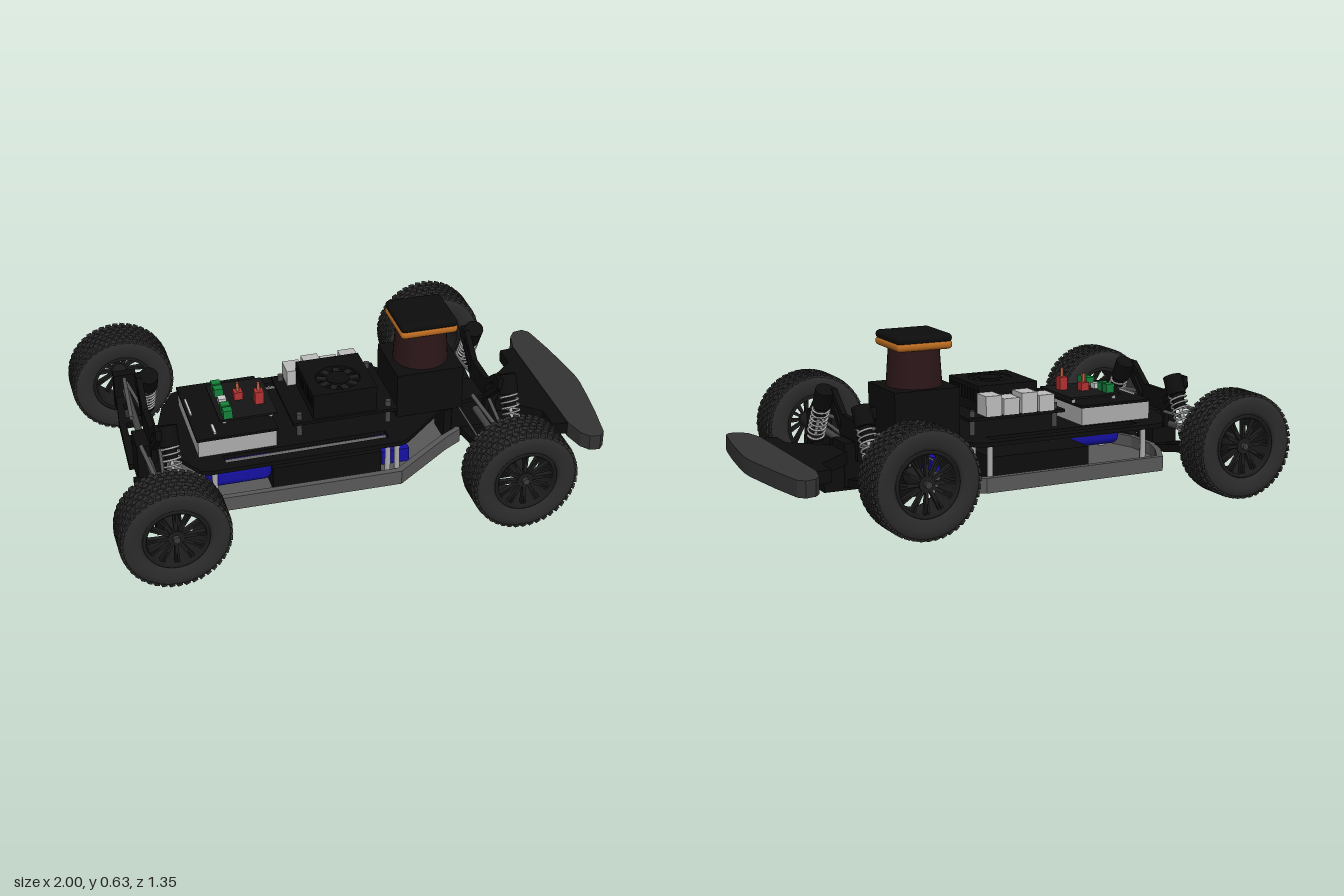
import * as THREE from 'three';
import { mergeGeometries } from 'three/addons/utils/BufferGeometryUtils.js';
import { RoundedBoxGeometry } from 'three/addons/geometries/RoundedBoxGeometry.js';

const paints = {};
const paint = (c) => (paints[c] ??= new THREE.MeshStandardMaterial({ color: c, side: THREE.DoubleSide }));
const BLACK = 0x0d0d0d, RUBBER = 0x2b2b2b, FOAM = 0x333333, TUB = 0x585858, STEEL = 0xaaaaaa, BLUE = 0x1410a0;
const V = (x, y, z) => new THREE.Vector3(x, y, z);

function add(parent, name, geo, color, x = 0, y = 0, z = 0) {
  const m = new THREE.Mesh(geo, paint(color));
  m.name = name;
  m.position.set(x, y, z);
  parent.add(m);
  return m;
}
// Box given by its minimum and maximum on each axis
function box(parent, name, color, [x0, x1], [y0, y1], [z0, z1]) {
  return add(parent, name, new THREE.BoxGeometry(x1 - x0, y1 - y0, z1 - z0), color, (x0 + x1) / 2, (y0 + y1) / 2, (z0 + z1) / 2);
}
// Cylinder between two points
function rod(parent, name, color, a, b, r, r2 = r, n = 12) {
  const d = b.clone().sub(a);
  const m = add(parent, name, new THREE.CylinderGeometry(r2, r, d.length(), n), color);
  m.position.copy(a).addScaledVector(d, 0.5);
  m.quaternion.setFromUnitVectors(V(0, 1, 0), d.normalize());
}
const toShape = (pts) => new THREE.Shape(pts.map((p) => new THREE.Vector2(...p)));
const mirrored = (half) => [...half, ...half.map(([x, z]) => [x, -z]).reverse()];
// Horizontal plate from an outline in x and z, with optional holes
function plate(parent, name, color, pts, y0, y1, holes = []) {
  const shape = toShape(pts.map(([x, z]) => [x, -z]));
  shape.holes = holes.map((h) => toShape(h.map(([x, z]) => [x, -z])));
  const geo = new THREE.ExtrudeGeometry(shape, { depth: y1 - y0, bevelEnabled: false }).rotateX(-Math.PI / 2);
  return add(parent, name, geo, color, 0, y0, 0);
}
const rect = (x0, x1, z0, z1) => [[x0, z0], [x1, z0], [x1, z1], [x0, z1]];
const ring = (pts) => new THREE.LatheGeometry(pts.map((p) => new THREE.Vector2(...p)), 48).rotateX(Math.PI / 2);

// Wheel with its axle along z and its outer face towards +z
function makeWheel() {
  const g = new THREE.Group();
  g.name = 'wheel';
  add(g, 'tire', ring([[.12, -.068], [.135, -.078], [.165, -.081], [.186, -.079], [.197, -.068], [.2, 0], [.197, .068],
    [.186, .079], [.165, .081], [.135, .078], [.12, .068], [.117, 0], [.12, -.068]]), RUBBER);
  // Staggered low tread blocks
  const blocks = [];
  for (let row = 0; row < 7; row++) {
    const z = (row - 3) * .0225;
    for (let i = 0; i < 44; i++) {
      const b = new THREE.BoxGeometry(.02, .009, .018).rotateY(row % 2 ? .35 : -.35);
      b.translate(0, Math.abs(z) > .06 ? .196 : .2, z);
      blocks.push(b.rotateZ((i + (row % 2) / 2) * Math.PI / 22));
    }
  }
  add(g, 'tread', mergeGeometries(blocks), RUBBER);
  // Rim with twelve split spokes
  const parts = [ring([[.108, -.066], [.122, -.07], [.122, .07], [.117, .075], [.108, .07], [.108, -.066]])];
  for (let i = 0; i < 24; i++) {
    const lean = i % 2 ? .055 : -.055;
    parts.push(new THREE.BoxGeometry(.007, .084, .018).translate(0, .07, .05).rotateZ(Math.floor(i / 2) * Math.PI / 6 + lean));
  }
  add(g, 'rim', mergeGeometries(parts), 0x1c1c1c);
  rod(g, 'hub', 0x1c1c1c, V(0, 0, -.07), V(0, 0, .062), .034, .03, 20);
  rod(g, 'wheelNut', 0x3a3a3a, V(0, 0, .06), V(0, 0, .076), .014, .014, 6);
  return g;
}

// Shock absorber with a coil spring from its top mount to its bottom mount
function makeShock(top, bottom) {
  const g = new THREE.Group();
  g.name = 'shock';
  const at = (t) => top.clone().lerp(bottom, t);
  rod(g, 'shockBody', BLACK, at(0), at(.5), .024);
  rod(g, 'shockCap', BLACK, at(-.04), at(.28), .037, .037, 16);
  rod(g, 'shockShaft', STEEL, at(.5), at(1), .007);
  rod(g, 'springSeat', BLACK, at(.9), at(.96), .034);
  const len = top.distanceTo(bottom);
  const pts = Array.from({ length: 85 }, (_, i) => V(.033 * Math.cos(i * Math.PI / 6), -len * (.28 + .62 * i / 84), .033 * Math.sin(i * Math.PI / 6)));
  const coil = add(g, 'spring', new THREE.TubeGeometry(new THREE.CatmullRomCurve3(pts), 126, .0045, 5), STEEL);
  coil.position.copy(top);
  coil.quaternion.setFromUnitVectors(V(0, -1, 0), bottom.clone().sub(top).normalize());
  return g;
}

// Suspension, drive shafts and wheels around one axle
function makeAxle(name, x, shockX, towerX, [gearX0, gearX1]) {
  const g = new THREE.Group();
  g.name = name;
  box(g, 'gearbox', BLACK, [gearX0, gearX1], [.08, .25], [-.06, .06]);
  // Shock tower with a lightening hole on each side
  const tower = toShape(mirrored([[.18, .08], [.25, .09], [.37, .22], [.41, .215], [.41, .17], [.33, .07]]).map(([y, z]) => [z, y]));
  tower.holes = [1, -1].map((s) => toShape([[.08 * s, .27], [.16 * s, .35], [.17 * s, .38], [.09 * s, .31]]));
  add(g, 'shockTower', new THREE.ExtrudeGeometry(tower, { depth: .022, bevelEnabled: false }).rotateY(Math.PI / 2), BLACK, towerX);
  for (const s of [1, -1]) {
    const wheel = makeWheel();
    wheel.position.set(x, .208, .538 * s);
    if (s < 0) wheel.rotation.y = Math.PI;
    g.add(wheel);
    g.add(makeShock(V(shockX, .4, .185 * s), V(shockX, .19, .305 * s)));
    // Perforated lower arm, sloping up to the hub
    const m = (pts) => pts.map(([a, z]) => [x + a, z * s]);
    const arm = plate(g, 'lowerArm', BLACK, m([[-.06, .05], [.08, .05], [.08, .3], [.04, .44], [-.04, .44], [-.055, .3]]), .07, .1,
      [m([[-.03, .1], [.045, .1], [.045, .18], [-.03, .18]]), m([[-.03, .21], [.045, .21], [.04, .28], [-.03, .28]]), m([[-.025, .31], [.035, .31], [.02, .39], [-.02, .39]])]);
    arm.rotation.x = -.19 * s;
    rod(g, 'driveShaft', 0x444444, V(x, .19, .06 * s), V(x, .208, .48 * s), .014);
    rod(g, 'upperArm', 0x555555, V(x - .03, .28, .1 * s), V(x, .26, .46 * s), .008);
    rod(g, 'camberLink', 0x555555, V(x + .04, .25, .1 * s), V(x, .245, .46 * s), .007);
    box(g, 'hubCarrier', BLACK, [x - .045, x + .045], [.13, .28], [.44 * s - .02, .44 * s + .02]);
  }
  return g;
}

export function createModel() {
  const model = new THREE.Group();
  const car = new THREE.Group();
  car.name = 'chassisCar';
  car.rotation.y = -.0704;
  model.add(car);

  // Lower tub: floor plus a raised wall
  const outline = mirrored([[-.69, .08], [-.655, .18], [-.6, .285], [.17, .297], [.41, .12], [.48, .08]]);
  const inner = mirrored([[-.67, .07], [-.635, .17], [-.585, .262], [.16, .272], [.39, .105], [.46, .065]]);
  plate(car, 'tubFloor', TUB, outline, .06, .072);
  plate(car, 'tubWall', TUB, outline, .072, .118, [inner]);
  box(car, 'frontNeck', BLACK, [.42, .72], [.07, .2], [-.055, .055]);

  // Upper deck on standoffs, with long side slots
  const deck = mirrored([[-.695, .07], [-.66, .18], [-.6, .28], [-.57, .292], [.17, .295], [.2, .28], [.4, .1], [.6, .06]]);
  plate(car, 'upperDeck', BLACK, deck, .235, .252, [rect(-.5, .13, .205, .25), rect(-.5, .13, -.25, -.205)]);
  for (const s of [1, -1]) {
    box(car, 'sideRail', 0x666666, [-.5, .13], [.222, .234], [.228 * s - .022, .228 * s + .022]);
    for (const [x, z] of [[-.54, .23], [.13, .24], [.18, .2], [-.58, .16]]) {
      rod(car, 'standoff', STEEL, V(x, .07, z * s), V(x, .236, z * s), .011);
    }
  }

  // Battery and lower electronics
  add(car, 'battery', new RoundedBoxGeometry(.25, .085, .24, 3, .03), BLUE, -.44, .16, .1);
  box(car, 'speedController', BLACK, [-.315, .11], [.07, .17], [-.2, .22]);
  box(car, 'servo', BLUE, [.13, .24], [.07, .13], [.05, .17]);

  // Power box with its board and connectors
  box(car, 'powerBox', STEEL, [-.59, -.29], [.252, .32], [-.19, .19]);
  box(car, 'powerBoxLid', BLACK, [-.595, -.285], [.32, .33], [-.195, .195]);
  box(car, 'powerBoard', 0x141414, [-.49, -.27], [.345, .353], [-.14, .12]);
  for (const x of [-.47, -.29]) for (const z of [-.12, .1]) rod(car, 'boardPost', STEEL, V(x, .33, z), V(x, .346, z), .008);
  for (const z of [-.1, -.06, .06, .1]) box(car, 'greenTerminal', 0x14803a, [-.475, -.44], [.353, .387], [z - .016, z + .016]);
  for (const [x, z, h] of [[-.39, -.02, .42], [-.32, .03, .44]]) {
    box(car, 'redSwitch', 0xb03030, [x - .017, x + .017], [.353, h - .035], [z - .017, z + .017]);
    rod(car, 'switchLever', 0xc06040, V(x, h - .035, z), V(x, h, z), .006);
  }
  box(car, 'boardHeader', 0xcccccc, [-.47, -.44], [.353, .375], [-.02, .01]);
  box(car, 'lidHeader', 0xcccccc, [-.585, -.577], [.33, .338], [-.09, .02]);
  box(car, 'lidHeader', 0xcccccc, [-.525, -.515], [.33, .338], [.11, .17]);

  // Computer board with heat sink, fan and ports
  box(car, 'computerBoard', BLACK, [-.22, .19], [.31, .322], [-.18, .17]);
  for (const x of [-.19, .16]) for (const z of [-.15, .14]) rod(car, 'boardPost', 0x444444, V(x, .252, z), V(x, .345, z), .011);
  box(car, 'heatSinkBase', BLACK, [-.14, .11], [.322, .36], [-.1, .16]);
  for (let i = 0; i < 10; i++) box(car, 'heatSinkFin', BLACK, [-.14, .11], [.36, .412], [-.1 + i * .0275, -.0875 + i * .0275]);
  plate(car, 'fanFrame', BLACK, rect(-.14, .11, -.1, .16), .408, .425,
    [Array.from({ length: 32 }, (_, i) => [-.015 + .085 * Math.cos(i * Math.PI / 16), .055 + .085 * Math.sin(i * Math.PI / 16)])]);
  rod(car, 'fanHub', BLACK, V(-.015, .41, .055), V(-.015, .426, .055), .045, .045, 24);
  for (let i = 0; i < 9; i++) {
    const a = i * Math.PI * 2 / 9;
    const blade = add(car, 'fanBlade', new THREE.BoxGeometry(.045, .006, .025), 0x1c1c1c, -.015 + .06 * Math.cos(a), .416, .055 - .06 * Math.sin(a));
    blade.rotation.y = a;
  }
  [-.175, -.1, -.025, .05].forEach((x, i) => {
    box(car, 'port', 0xbbbbbb, [x, x + .066], [.322, .385 + (i % 2) * .015], [-.18, -.1]);
  });

  // Scanner: mount, tapered body and capped top
  box(car, 'scannerMount', BLACK, [.2, .465], [.252, .435], [-.128, .128]);
  rod(car, 'scannerBody', 0x2b1618, V(.331, .435, 0), V(.331, .585, 0), .107, .097, 40);
  add(car, 'scannerRing', new RoundedBoxGeometry(.226, .034, .226, 4, .016), 0xb86a20, .331, .596, 0);
  add(car, 'scannerCap', new RoundedBoxGeometry(.224, .034, .224, 4, .016), BLACK, .331, .621, 0);

  // Suspension and wheels
  car.add(makeAxle('rearAxle', -.759, -.7, -.75, [-.8, -.69]));
  car.add(makeAxle('frontAxle', .5485, .62, .575, [.45, .64]));
  rod(car, 'steeringRod', 0x555555, V(.455, .25, -.45), V(.455, .25, .45), .004);
  rod(car, 'centreDriveShaft', 0x333333, V(-.7, .17, 0), V(.48, .17, 0), .014);

  // Front bumper
  plate(car, 'bumperBracket', BLACK, mirrored([[.56, .05], [.63, .06], [.78, .19], [.78, .29], [.87, .3]]), .17, .218);
  plate(car, 'bumperFoam', FOAM, mirrored([[.84, .2], [.84, .3], [.86, .38], [.885, .412], [.925, .42], [.948, .395], [.973, .25], [.99, .12], [1, .03]]), .16, .222);
  return model;
}
